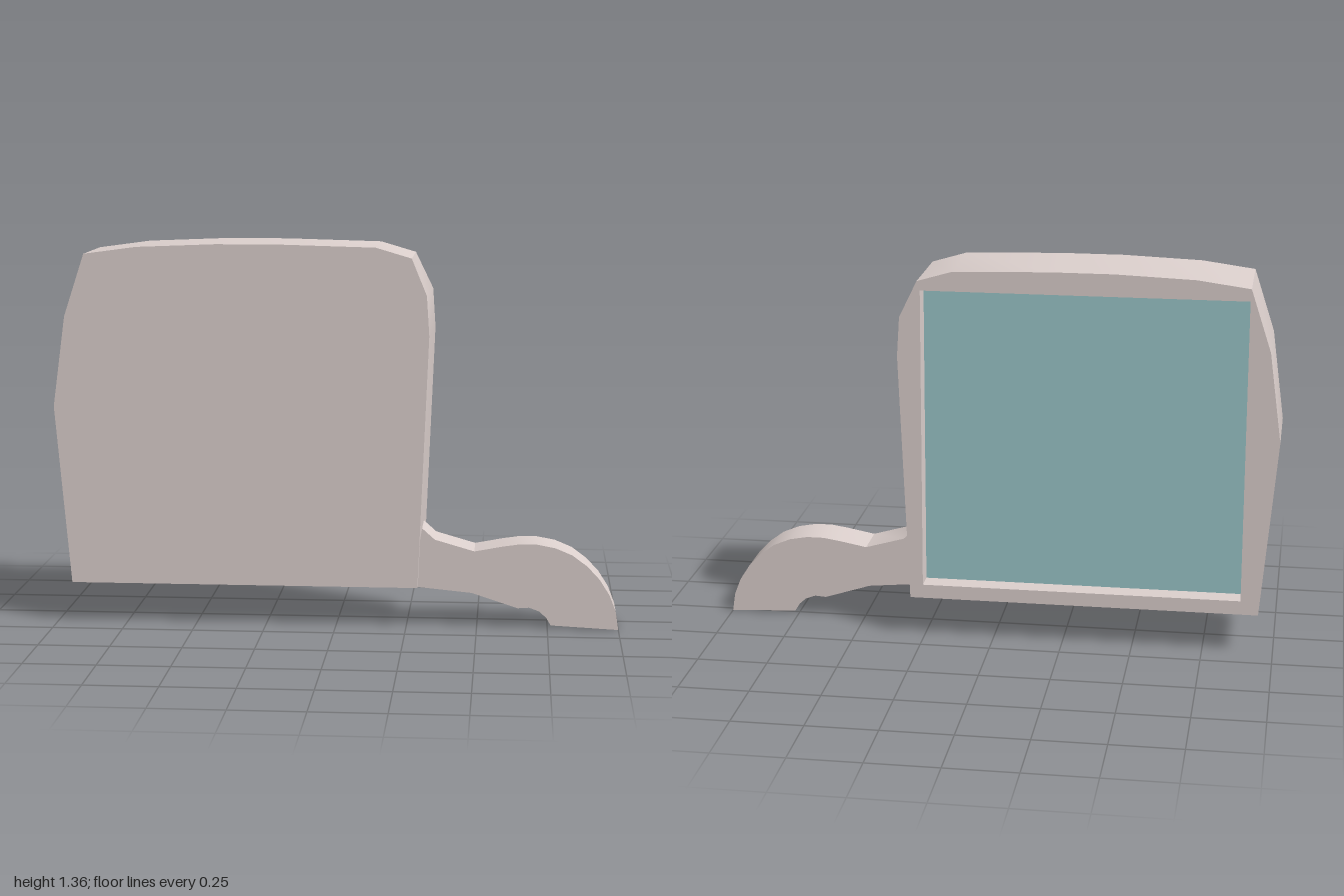
import * as THREE from 'three';
import { mergeGeometries, toCreasedNormals } from 'three/addons/utils/BufferGeometryUtils.js';

const FRONT = 0.157, BACK = -0.163, GLASS = -0.09;

const toVectors = (pts) => pts.map(([x, y]) => new THREE.Vector2(x, y));

// Strip of quads joining a loop at depth za to a matching loop at depth zb (faces outward if counter-clockwise)
function wall(a, za, b, zb) {
  const pos = [];
  a.forEach((p, i) => {
    const j = (i + 1) % a.length;
    const A = [...p, za], B = [...a[j], za], C = [...b[j], zb], D = [...b[i], zb];
    pos.push(...A, ...B, ...C, ...A, ...C, ...D);
  });
  const g = new THREE.BufferGeometry();
  g.setAttribute('position', new THREE.Float32BufferAttribute(pos, 3));
  return g;
}

// Flat cap, optionally with a hole; dir = 1 faces front, -1 faces back
function cap(pts, z, dir, hole) {
  const shape = new THREE.Shape(toVectors(pts.map(([x, y]) => [x * dir, y])));
  if (hole) shape.holes.push(new THREE.Path(toVectors(hole.map(([x, y]) => [x * dir, y]))));
  const g = new THREE.ShapeGeometry(shape).toNonIndexed();
  if (dir < 0) g.rotateY(Math.PI);
  g.translate(0, 0, z);
  g.deleteAttribute('uv');
  g.deleteAttribute('normal');
  return g;
}

function mesh(name, parts, material) {
  const m = new THREE.Mesh(toCreasedNormals(mergeGeometries(parts), 0.45), material);
  m.name = name;
  return m;
}

export function createModel() {
  const group = new THREE.Group();
  group.name = 'sideMirror';
  const bodyMat = new THREE.MeshStandardMaterial({ color: 0xdcd0cd });
  const glassMat = new THREE.MeshStandardMaterial({ color: 0x9cc8cb });

  // Housing: the front edge is slightly tucked in on the stalk side
  const rear = [
    [-0.945, 0.145], [0.3, 0.145], [0.337, 1.04], [0.328, 1.18], [0.265, 1.31], [0.14, 1.347],
    [-0.2, 1.356], [-0.42, 1.356], [-0.7, 1.345], [-0.885, 1.32], [-0.957, 1.1], [-1, 0.78],
  ];
  const front = rear.map(([x, y]) => [x > 0.29 ? x - 0.01 : x, y]);
  const opening = [[-0.882, 0.195], [0.254, 0.195], [0.254, 1.277], [-0.882, 1.277]];
  const inward = [...opening].reverse();
  group.add(mesh('housing', [
    wall(front, FRONT, rear, BACK).scale(1, 1, 1),
    cap(front, FRONT, 1),
    cap(rear, BACK, -1, opening),
    wall(inward, GLASS, inward, BACK),
  ].map((g, i) => (i === 0 || i === 3 ? flip(g) : g)), bodyMat));

  // Mirror glass at the bottom of the recess
  group.add(mesh('mirrorGlass', [cap(opening, GLASS, -1)], glassMat));

  // Mounting stalk: waisted arm ending in a rounded foot
  const stalk = [
    [0.27, 0.145], [0.48, 0.125], [0.645, 0.072], [0.685, 0.075], [0.72, 0.062], [0.745, 0.04], [0.762, 0.012],
    [1, 0], [0.99, 0.066], [0.967, 0.125], [0.932, 0.18], [0.888, 0.227], [0.835, 0.266], [0.775, 0.291],
    [0.71, 0.303], [0.65, 0.303], [0.59, 0.294], [0.49, 0.275], [0.35, 0.315], [0.305, 0.355],
  ];
  group.add(mesh('stalk', [
    flip(wall(stalk, 0.13, stalk, -0.02)),
    cap(stalk, 0.13, 1),
    cap(stalk, -0.02, -1),
  ], bodyMat));

  return group;
}

// Reverse the winding of every triangle so that walls running front to back face outward
function flip(g) {
  const p = g.attributes.position;
  for (let i = 0; i < p.count; i += 3) {
    const a = [p.getX(i), p.getY(i), p.getZ(i)];
    p.setXYZ(i, p.getX(i + 1), p.getY(i + 1), p.getZ(i + 1));
    p.setXYZ(i + 1, ...a);
  }
  return g;
}
